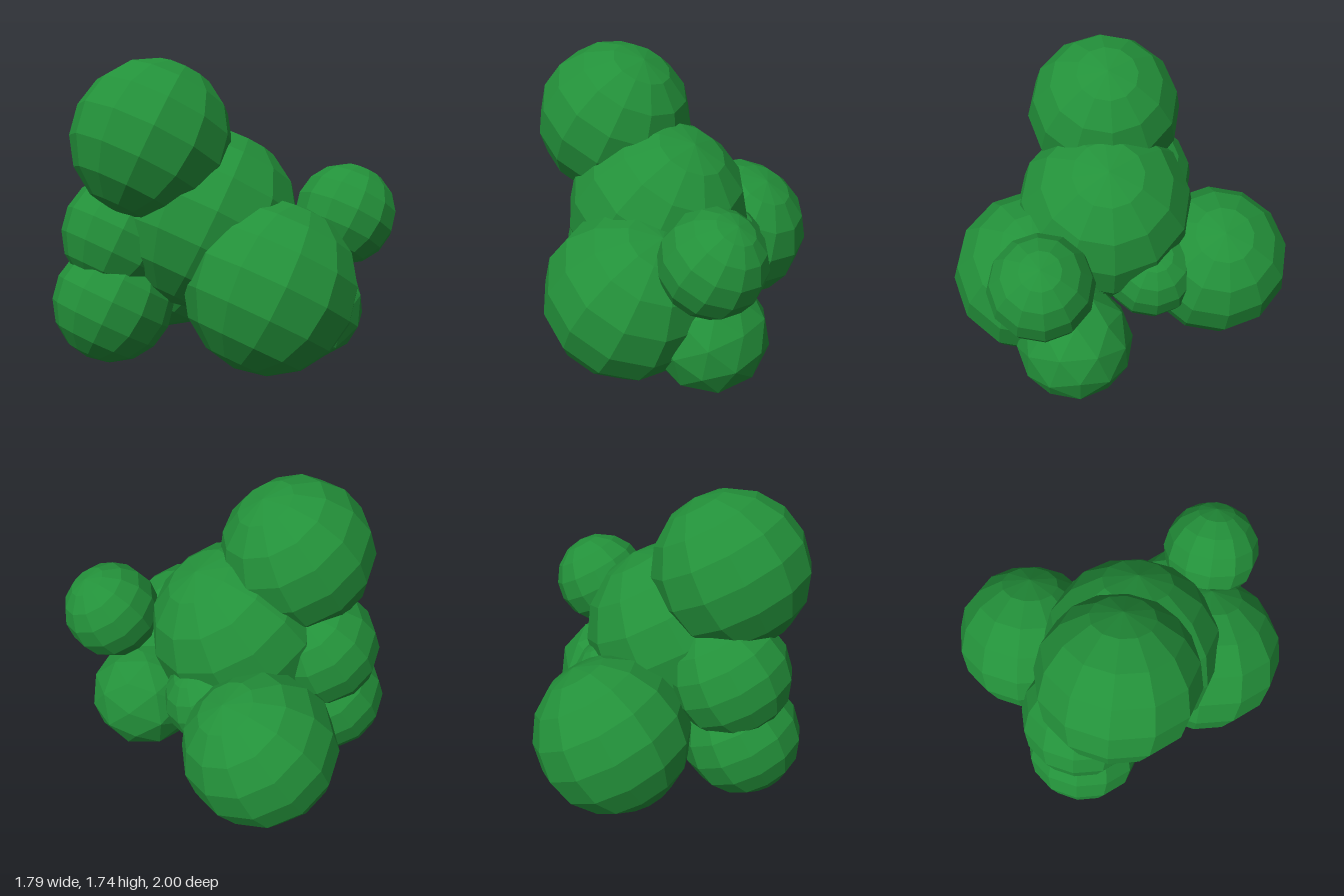
import * as THREE from 'three';

// A bushy clump of overlapping low-poly foliage balls.
export function createModel() {
  const model = new THREE.Group();
  model.name = 'foliageClump';
  const leafGreen = new THREE.MeshStandardMaterial({ color: 0x23913a, flatShading: true });
  leafGreen.name = 'leafGreen';

  const add = (name, geometry, x, y, z, tilt) => {
    const mesh = new THREE.Mesh(geometry, leafGreen);
    mesh.name = name;
    mesh.position.set(x, y, z);
    mesh.rotation.z = tilt;
    model.add(mesh);
  };

  // Round tufts, all leaning 30 degrees towards +x: name, radius, x, y, z
  const tufts = [
    ['topTuft', 0.445, -0.40, 1.302, 0.05],
    ['centreTuft', 0.52, -0.06, 0.838, 0.09],
    ['frontTuft', 0.477, 0.07, 0.515, 0.52],
    ['backTuft', 0.442, 0.06, 0.483, -0.56],
    ['leftTuft', 0.287, 0.605, 0.868, 0.495],
    ['lowerRightTuft', 0.345, -0.555, 0.373, -0.14],
    ['middleRightTuft', 0.35, -0.48, 0.76, -0.15],
    ['innerTuft', 0.275, 0.20, 0.565, -0.15],
  ];
  for (const [name, r, x, y, z] of tufts) {
    add(name, new THREE.SphereGeometry(r, 12, 8), x, y, z, -Math.PI / 6);
  }

  // Coarser faceted tuft resting on the ground, one corner pointing to +x
  const cornerAngle = Math.atan((1 + Math.sqrt(5)) / 2);
  add('lowerLeftTuft', new THREE.IcosahedronGeometry(0.333, 1), 0.477, 0.317, 0.325, cornerAngle);

  return model;
}
